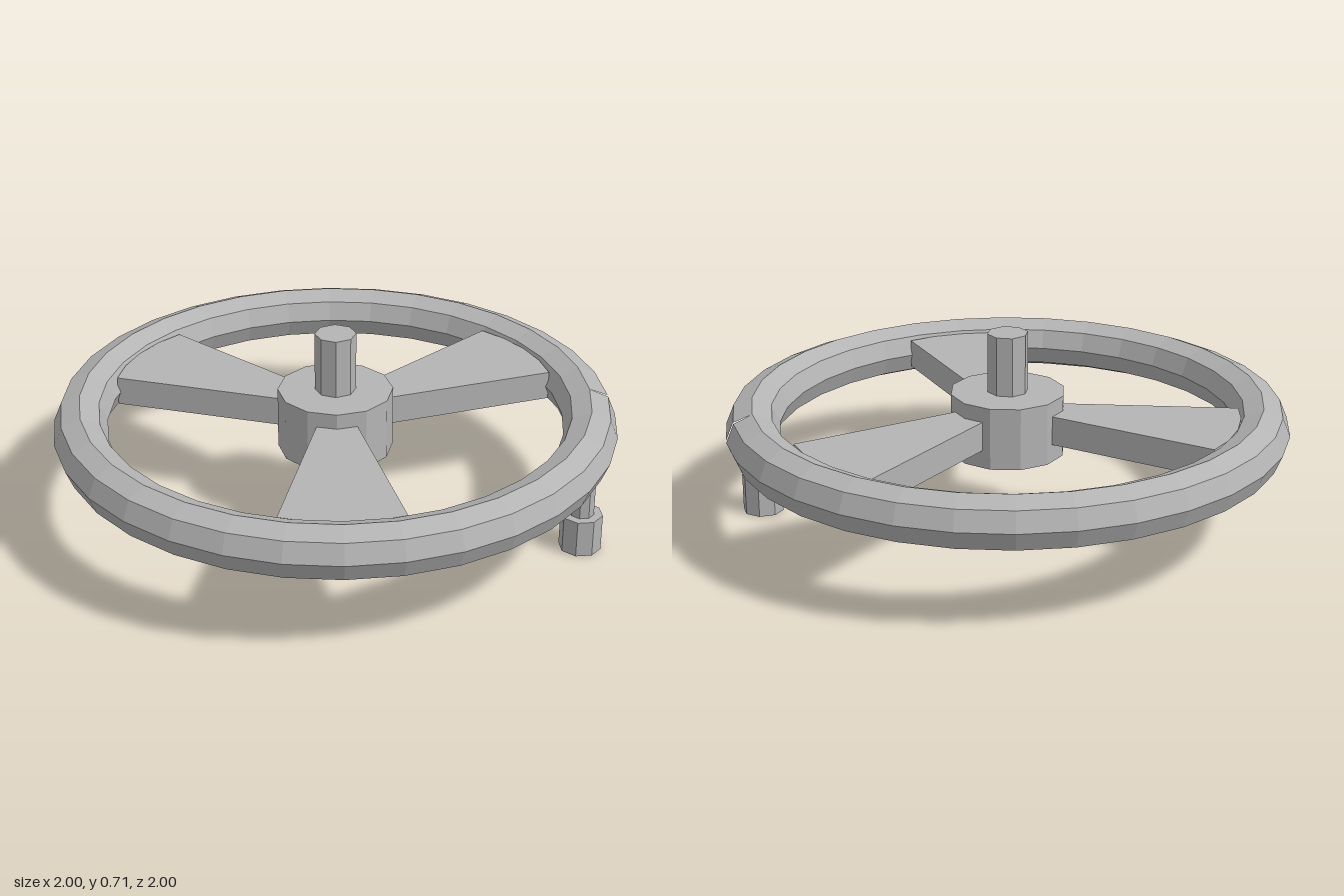
import * as THREE from 'three';

export function createModel() {
  const group = new THREE.Group();
  group.name = 'handwheel';
  const metal = new THREE.MeshStandardMaterial({ color: 0xb4b4b4, flatShading: true });
  metal.name = 'grey metal';

  const add = (name, geometry) => {
    const mesh = new THREE.Mesh(geometry, metal);
    mesh.name = name;
    group.add(mesh);
    return mesh;
  };
  const cylinder = (name, radius, bottom, top, sides, x = 0, z = 0, turn = 0) => {
    const mesh = add(name, new THREE.CylinderGeometry(radius, radius, top - bottom, sides));
    mesh.position.set(x, (top + bottom) / 2, z);
    mesh.rotation.y = turn;
    return mesh;
  };

  // Octagonal rim, with a narrow wedge-shaped split on the outside at +x
  const rimRadius = 0.905, tube = 0.095, rimY = 0.383;
  const rimGeo = new THREE.TorusGeometry(rimRadius, tube, 8, 32);
  const pos = rimGeo.attributes.position;
  for (let ring = 0; ring <= 8; ring++) {
    const first = ring * 33, last = first + 32;
    const gap = Math.max(0, pos.getX(first) - rimRadius) * 0.1;
    pos.setY(first, gap);
    pos.setY(last, -gap);
  }
  rimGeo.rotateX(-Math.PI / 2);
  add('rim', rimGeo).position.y = rimY;

  // Hub and shaft
  cylinder('hub', 0.205, 0.27, 0.495, 12);
  cylinder('shaft', 0.073, 0.49, 0.71, 8);

  // Three flaring spokes
  const outline = new THREE.Shape([
    [-0.07, 0.18], [0.07, 0.18], [0.21, 0.79], [0.11, 0.82],
    [0, 0.83], [-0.11, 0.82], [-0.21, 0.79],
  ].map(([x, y]) => new THREE.Vector2(x, y)));
  const spokeGeo = new THREE.ExtrudeGeometry(outline, { depth: 0.105, bevelEnabled: false });
  spokeGeo.rotateX(Math.PI / 2);
  for (let i = 0; i < 3; i++) {
    const spoke = add('spoke', spokeGeo);
    spoke.position.y = 0.44;
    spoke.rotation.y = i * Math.PI * 2 / 3;
  }

  // Crank handle hanging under the rim
  const hx = 0.857, hz = 0.281, turn = -Math.atan2(hz, hx);
  cylinder('handleStem', 0.043, 0.13, 0.33, 8, hx, hz, turn);
  cylinder('handleKnob', 0.075, 0, 0.135, 8, hx, hz, turn);

  return group;
}
